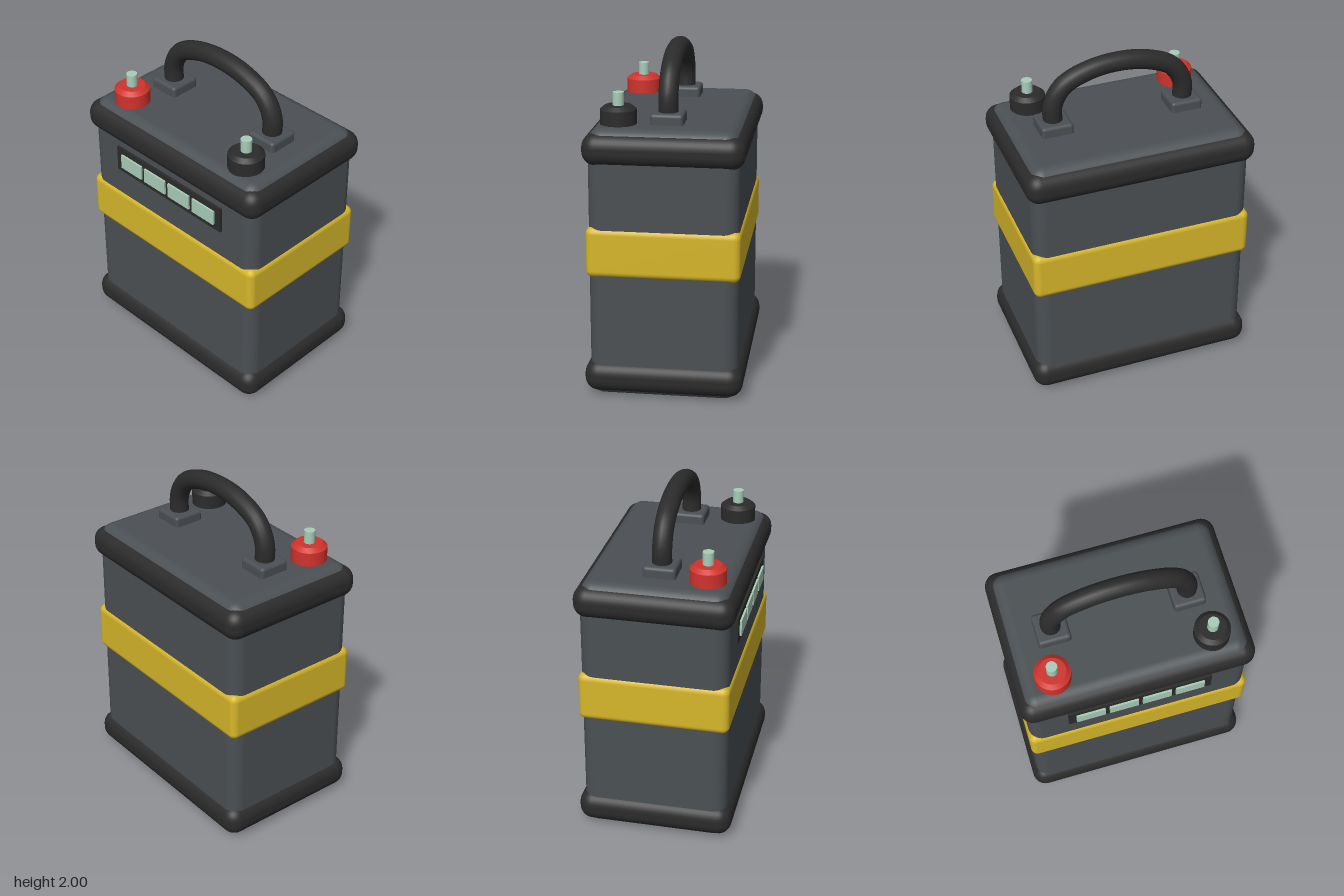
import * as THREE from 'three';
import { RoundedBoxGeometry } from 'three/addons/geometries/RoundedBoxGeometry.js';
import { toCreasedNormals } from 'three/addons/utils/BufferGeometryUtils.js';

const material = (name, color) => {
  const m = new THREE.MeshStandardMaterial({ color });
  m.name = name;
  return m;
};

export function createModel() {
  const grey = material('slate grey', 0x4b5054);
  const black = material('rubber black', 0x2b2b2b);
  const yellow = material('yellow', 0xd6b62a);
  const red = material('red', 0xd0332c);
  const mint = material('pale mint', 0xa8cdb9);

  const model = new THREE.Group();
  model.name = 'batteryPack';

  const add = (name, geometry, mat, x = 0, y = 0, z = 0, parent = model) => {
    const mesh = new THREE.Mesh(geometry, mat);
    mesh.name = name;
    mesh.position.set(x, y, z);
    parent.add(mesh);
    return mesh;
  };
  const rounded = (w, h, d, r) => new RoundedBoxGeometry(w, h, d, 4, r);

  // Casing with rubber bumpers at both ends and a band round the middle
  add('casing', rounded(1.32, 1.585, 0.86, 0.08), grey, 0, 0.7925, 0);
  for (const [name, y] of [['bottomBumper', 0.117], ['topBumper', 1.468]]) {
    add(name, rounded(1.38, 0.185, 0.92, 0.08), black, 0, y, 0);
  }
  add('band', rounded(1.342, 0.295, 0.882, 0.04), yellow, 0, 0.873, 0);

  // Charge display: dark panel with four cells
  const display = new THREE.Group();
  display.name = 'display';
  model.add(display);
  add('displayPanel', new THREE.BoxGeometry(0.856, 0.164, 0.024), black, 0, 1.27, 0.432, display);
  for (let i = 0; i < 4; i++) {
    add('displayCell', new THREE.BoxGeometry(0.172, 0.092, 0.018), mint,
      (i - 1.5) * 0.198, 1.27, 0.447, display);
  }

  // Carrying handle on two mounting pads
  const path = new THREE.CatmullRomCurve3([
    [-0.395, 1.6], [-0.395, 1.74], [-0.33, 1.85], [-0.18, 1.92], [0, 1.943],
    [0.18, 1.92], [0.33, 1.85], [0.395, 1.74], [0.395, 1.6],
  ].map(([x, y]) => new THREE.Vector3(x, y, 0)));
  add('handle', new THREE.TubeGeometry(path, 48, 0.057, 16), black);
  for (const side of [-1, 1]) {
    add('handlePad', rounded(0.19, 0.09, 0.19, 0.02), grey, side * 0.395, 1.602, 0);
  }

  // Terminals: chamfered collar and a metal post
  const collarProfile = [[0, 0], [0.104, 0], [0.104, 0.09], [0.078, 0.112], [0, 0.112]]
    .map(([x, y]) => new THREE.Vector2(x, y));
  const collar = toCreasedNormals(new THREE.LatheGeometry(collarProfile, 32), 0.5);
  const post = new THREE.CylinderGeometry(0.032, 0.032, 0.1, 20);
  for (const [name, side, mat] of [['positiveTerminal', -1, red], ['negativeTerminal', 1, black]]) {
    const terminal = new THREE.Group();
    terminal.name = name;
    terminal.position.set(side * 0.462, 1.578, 0.275);
    model.add(terminal);
    add('terminalCollar', collar, mat, 0, 0, 0, terminal);
    add('terminalPost', post, mint, 0, 0.137, 0, terminal);
  }

  return model;
}
